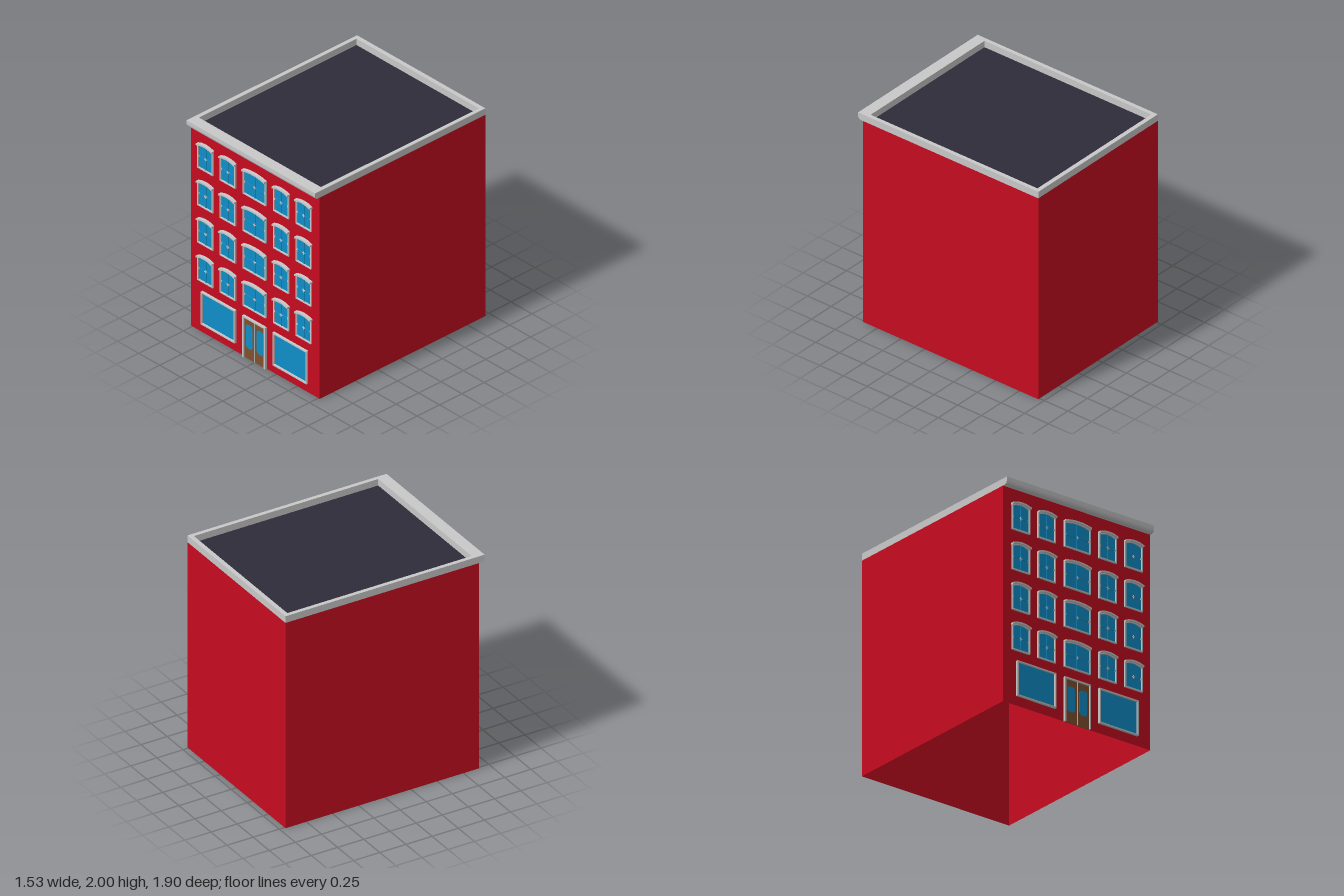
import * as THREE from 'three';

const mat = (name, color, side = THREE.FrontSide) => {
  const m = new THREE.MeshStandardMaterial({ color, side });
  m.name = name;
  return m;
};
const red = mat('red brick', 0xc60c20, THREE.DoubleSide);
const grey = mat('light stone', 0xc8c8c8);
const blue = mat('blue glass', 0x0f8fc9);
const brown = mat('brown wood', 0x80502d);
const slate = mat('dark roof', 0x2e2c3a, THREE.DoubleSide);

const W = 0.765, BACK = -0.95, FRONT = 0.9, EAVE = 1.937, TOP = 2;

function add(parent, name, geo, material, x = 0, y = 0, z = 0) {
  const m = new THREE.Mesh(geo, material);
  m.name = name;
  m.position.set(x, y, z);
  parent.add(m);
  return m;
}
const box = (parent, name, material, w, h, d, x, y, z) =>
  add(parent, name, new THREE.BoxGeometry(w, h, d), material, x, y, z);
const extrude = (shape, depth) =>
  new THREE.ExtrudeGeometry(shape, { depth, bevelEnabled: false, curveSegments: 8 });

// Opening outline standing on y = 0, with an arched head when rise > 0
function opening(w, h, rise, inset = 0) {
  const a = w / 2 - inset, s = h - inset;
  const p = new THREE.Shape();
  p.moveTo(-a, inset);
  p.lineTo(a, inset);
  p.lineTo(a, s);
  if (rise) p.quadraticCurveTo(0, s + 2 * rise, -a, s);
  else p.lineTo(-a, s);
  p.closePath();
  return p;
}

function frame(g, w, h, rise, t, depth) {
  const s = opening(w, h, rise);
  s.holes.push(opening(w, h, rise, t));
  add(g, 'frame', extrude(s, depth), grey);
}

// Arched sash window with a curved hood
function sashWindow(w) {
  const g = new THREE.Group();
  g.name = 'window';
  const h = 0.225, rise = 0.02, a = w / 2, mid = 0.115;
  frame(g, w, h, rise, 0.011, 0.016);
  add(g, 'glass', extrude(opening(w, h, rise, 0.01), 0.004), blue);

  const hood = new THREE.Shape();
  hood.moveTo(-a - 0.002, h - 0.004);
  hood.quadraticCurveTo(0, h + 0.034, a + 0.002, h - 0.004);
  hood.lineTo(a + 0.002, h + 0.012);
  hood.lineTo(a * 0.6, h + 0.024);
  hood.quadraticCurveTo(0, h + 0.036, -a * 0.6, h + 0.024);
  hood.lineTo(-a - 0.002, h + 0.012);
  hood.closePath();
  add(g, 'hood', extrude(hood, 0.032), grey);

  // Glazing bars with a small cross at the centre and stops at the ends
  box(g, 'verticalBar', blue, 0.008, 0.215, 0.01, 0, mid + 0.003, 0.005);
  box(g, 'horizontalBar', blue, w - 0.022, 0.008, 0.01, 0, mid, 0.005);
  box(g, 'crossUpright', grey, 0.008, 0.03, 0.012, 0, mid, 0.006);
  box(g, 'crossArm', grey, 0.03, 0.008, 0.012, 0, mid, 0.006);
  for (const s of [-1, 1]) box(g, 'barStop', grey, 0.008, 0.016, 0.012, s * (a - 0.015), mid, 0.006);
  return g;
}

function shopWindow() {
  const g = new THREE.Group();
  g.name = 'shopWindow';
  frame(g, 0.405, 0.315, 0, 0.012, 0.022);
  add(g, 'glass', extrude(opening(0.405, 0.315, 0, 0.01), 0.005), blue);
  return g;
}

function doorway() {
  const g = new THREE.Group();
  g.name = 'doorway';
  const w = 0.27, h = 0.4;
  // Jambs and lintel
  for (const s of [-1, 1]) box(g, 'jamb', grey, 0.014, h, 0.022, s * (w / 2 - 0.007), h / 2, 0.011);
  box(g, 'lintel', grey, w - 0.028, 0.014, 0.022, 0, h - 0.007, 0.011);
  box(g, 'centrePost', grey, 0.004, h - 0.014, 0.014, 0, (h - 0.014) / 2, 0.007);
  // Door leaves, each with a rounded pane
  const a = 0.038, b = 0.113, r = 0.028;
  const pane = new THREE.Shape();
  pane.moveTo(-a + r, -b);
  pane.lineTo(a - r, -b);
  pane.quadraticCurveTo(a, -b, a, -b + r);
  pane.lineTo(a, b - r);
  pane.quadraticCurveTo(a, b, a - r, b);
  pane.lineTo(-a + r, b);
  pane.quadraticCurveTo(-a, b, -a, b - r);
  pane.lineTo(-a, -b + r);
  pane.quadraticCurveTo(-a, -b, -a + r, -b);
  for (const s of [-1, 1]) {
    box(g, 'doorLeaf', brown, 0.119, h - 0.014, 0.008, s * 0.0615, (h - 0.014) / 2, 0.004);
    add(g, 'doorPane', extrude(pane, 0.003), blue, s * 0.064, 0.215, 0.007);
  }
  return g;
}

export function createModel() {
  const model = new THREE.Group();
  model.name = 'building';
  const D = FRONT - BACK, cz = (FRONT + BACK) / 2;

  // Outer walls, open underneath
  const wall = (name, w, x, z, turn) => {
    add(model, name, new THREE.PlaneGeometry(w, EAVE), red, x, EAVE / 2, z).rotation.y = turn;
  };
  wall('frontWall', 2 * W, 0, FRONT, 0);
  wall('backWall', 2 * W, 0, BACK, Math.PI);
  wall('leftWall', D, W, cz, Math.PI / 2);
  wall('rightWall', D, -W, cz, -Math.PI / 2);

  // Sunken flat roof
  add(model, 'roof', new THREE.PlaneGeometry(2 * W - 0.04, 1.8), slate, 0, EAVE + 0.002, -0.03)
    .rotation.x = -Math.PI / 2;

  // Parapet on the sides and back
  const ph = TOP - EAVE, py = (TOP + EAVE) / 2;
  for (const s of [-1, 1]) box(model, 'sideParapet', grey, 0.037, ph, 0.85 - BACK, s * (W - 0.0185), py, (0.85 + BACK) / 2);
  box(model, 'backParapet', grey, 2 * W - 0.074, ph, 0.04, 0, py, BACK + 0.02);

  // Front cornice with a rounded lower edge, swept along x
  const c = new THREE.Shape();
  c.moveTo(-0.85, EAVE);
  c.lineTo(-0.85, TOP);
  c.lineTo(-0.952, TOP);
  c.lineTo(-0.952, 1.97);
  c.quadraticCurveTo(-0.95, EAVE, -0.92, EAVE);
  c.closePath();
  const cornice = add(model, 'frontCornice', extrude(c, 2 * W), grey, -W, 0, 0);
  cornice.rotation.y = Math.PI / 2;

  // Four floors of windows
  for (let row = 0; row < 4; row++) {
    for (const x of [-0.585, -0.317, 0, 0.317, 0.585]) {
      const win = sashWindow(x === 0 ? 0.27 : 0.184);
      win.position.set(x, 0.49 + row * 0.36, FRONT);
      model.add(win);
    }
  }

  // Ground floor
  for (const s of [-1, 1]) {
    const shop = shopWindow();
    shop.position.set(s * 0.427, 0.085, FRONT);
    model.add(shop);
  }
  const door = doorway();
  door.position.z = FRONT;
  model.add(door);
  return model;
}
